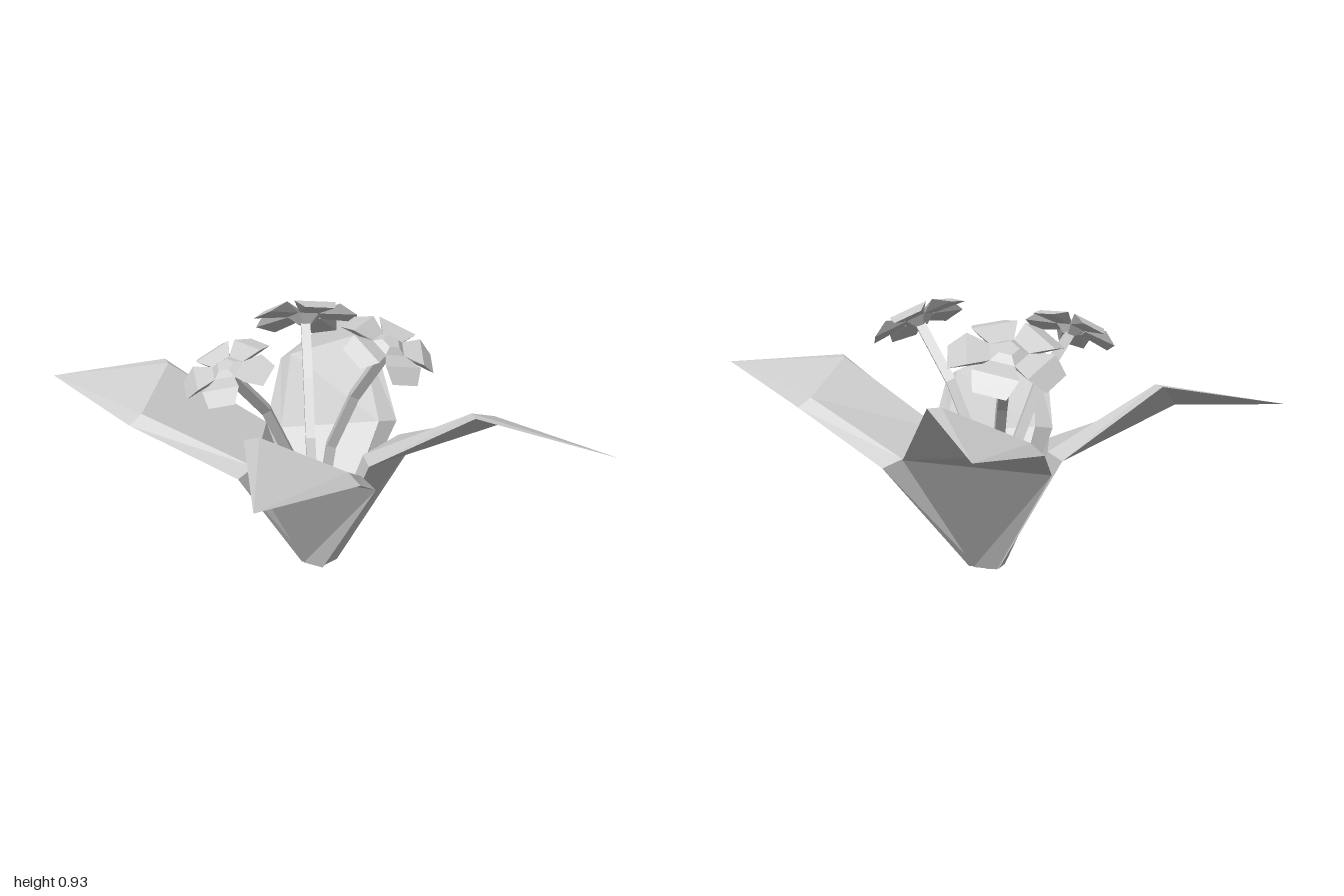
import * as THREE from 'three';
import { ConvexGeometry } from 'three/addons/geometries/ConvexGeometry.js';

const V = (x, y, z) => new THREE.Vector3(x, y, z);
const grey = new THREE.MeshStandardMaterial({ color: 0xcccccc, flatShading: true, side: THREE.DoubleSide });

function add(parent, geometry, name) {
  const mesh = new THREE.Mesh(geometry, grey);
  mesh.name = name;
  parent.add(mesh);
  return mesh;
}

// Solid with flat faces, lofted through four-cornered rings to a point
function loft(rings, tip) {
  const pos = [];
  const tri = (...pts) => pts.forEach(p => pos.push(p.x, p.y, p.z));
  const last = rings.length - 1;
  rings.forEach((ring, i) => {
    for (let k = 0; k < 4; k++) {
      const j = (k + 1) % 4;
      const a = ring[k], b = ring[j];
      if (i === last) {
        tri(a, tip, b);
        continue;
      }
      const c = rings[i + 1][j], d = rings[i + 1][k];
      // The outer face splits along the same diagonal as the inner one
      if (k === 0) {
        tri(a, d, b);
        tri(b, d, c);
      } else {
        tri(a, d, c);
        tri(a, c, b);
      }
    }
  });
  const [a, b, c, d] = rings[0];
  tri(a, b, c);
  tri(a, c, d);
  const g = new THREE.BufferGeometry();
  g.setAttribute('position', new THREE.Float32BufferAttribute(pos, 3));
  g.computeVertexNormals();
  return g;
}

// Leaf: low and high edge at base, middle and fold, ending in a point
function leafGeometry({ base, mid, fold, tip }) {
  const end = V(tip[0], 0.62, tip[1]);
  const inward = V(-0.11 - end.x, 0, -0.02 - end.z).normalize();
  const ring = ([lx, lz, hx, hz], lowY, highY, inset, back, up) => {
    const low = V(lx, lowY, lz), high = V(hx, highY, hz);
    const shift = inward.clone().multiplyScalar(back).add(V(0, up, 0));
    return [low, high,
      high.clone().lerp(low, inset).add(shift),
      low.clone().lerp(high, inset).add(shift)];
  };
  return loft([
    ring(base, 0, 0, 0.1, 0.025, 0),
    ring(mid, 0.395, 0.44, 0.13, 0.05, 0.02),
    ring(fold, 0.55, 0.68, 0.12, 0.03, 0.015),
  ], end);
}

// Each row holds x, z of the low edge, then x, z of the high edge
const leaves = [
  { name: 'leftLeaf', base: [-0.06, -0.07, -0.06, 0.01], mid: [0.04, -0.40, 0.16, 0.02],
    fold: [0.43, -0.40, 0.54, -0.06], tip: [1.0, -0.19] },
  { name: 'frontLeaf', base: [-0.05, 0.02, -0.13, 0.03], mid: [0.24, 0.08, -0.14, 0.30],
    fold: [0.42, 0.38, 0.10, 0.57], tip: [0.43, 0.88] },
  { name: 'rightLeaf', base: [-0.14, 0.03, -0.16, -0.03], mid: [-0.18, 0.31, -0.47, -0.09],
    fold: [-0.54, 0.47, -0.70, 0.14], tip: [-1.0, 0.41] },
  { name: 'backLeaf', base: [-0.16, -0.04, -0.08, -0.07], mid: [-0.45, -0.12, -0.06, -0.41],
    fold: [-0.66, -0.44, -0.34, -0.61], tip: [-0.74, -0.88] },
];

// Five-petalled blossom facing +y, about one unit in radius
function blossom() {
  const g = new THREE.Group();
  const petal = new ConvexGeometry([
    V(-0.22, 0.03, 0.3), V(0.22, 0.03, 0.3),
    V(-0.42, 0.09, 0.7), V(0.42, 0.09, 0.7),
    V(-0.3, -0.12, 1.02), V(0.3, -0.12, 1.02),
    V(-0.2, -0.04, 0.3), V(0.2, -0.04, 0.3),
  ]);
  for (let i = 0; i < 5; i++) {
    add(g, petal, 'petal').rotation.y = i * Math.PI * 2 / 5;
  }
  const heart = add(g, new THREE.CylinderGeometry(0.2, 0.42, 0.13, 5), 'flowerCentre');
  heart.position.y = 0.065;
  heart.rotation.y = Math.PI / 5;
  const cup = add(g, new THREE.CylinderGeometry(0.38, 0.14, 0.2, 5), 'flowerCup');
  cup.position.y = -0.1;
  cup.rotation.y = Math.PI / 5;
  return g;
}

const flowers = [
  { name: 'frontFlower', at: [-0.18, 0.80, 0.35], face: [0, 0.86, 0.5], size: 0.155, spin: 0.52,
    bend: [[-0.11, 0, 0.0], [-0.14, 0.34, 0.055], [-0.16, 0.58, 0.155]] },
  { name: 'rightFlower', at: [-0.39, 0.81, -0.28], face: [-0.36, 0.86, -0.36], size: 0.185, spin: -0.24,
    bend: [[-0.12, 0, -0.03], [-0.17, 0.32, -0.06], [-0.26, 0.56, -0.15]] },
  { name: 'leftFlower', at: [0.17, 0.85, -0.07], face: [0.5, 0.86, 0], size: 0.165, spin: -0.1,
    bend: [[-0.10, 0, -0.02], [-0.09, 0.38, -0.05], [0.0, 0.61, -0.07]] },
];

export function createModel() {
  const model = new THREE.Group();
  model.name = 'plant';

  for (const leaf of leaves) add(model, leafGeometry(leaf), leaf.name);

  for (const f of flowers) {
    const group = new THREE.Group();
    group.name = f.name;
    const centre = V(...f.at), face = V(...f.face).normalize();

    // Four-sided bent stem
    const neck = centre.clone().addScaledVector(face, -0.03);
    const path = new THREE.CatmullRomCurve3([...f.bend.map(p => V(...p)), neck]);
    add(group, new THREE.TubeGeometry(path, 4, 0.024, 4), 'stem');

    const head = blossom();
    head.name = 'blossom';
    head.scale.setScalar(f.size);
    head.position.copy(centre);
    head.quaternion.setFromUnitVectors(V(0, 1, 0), face);
    head.rotateY(f.spin);
    group.add(head);
    model.add(group);
  }
  return model;
}
